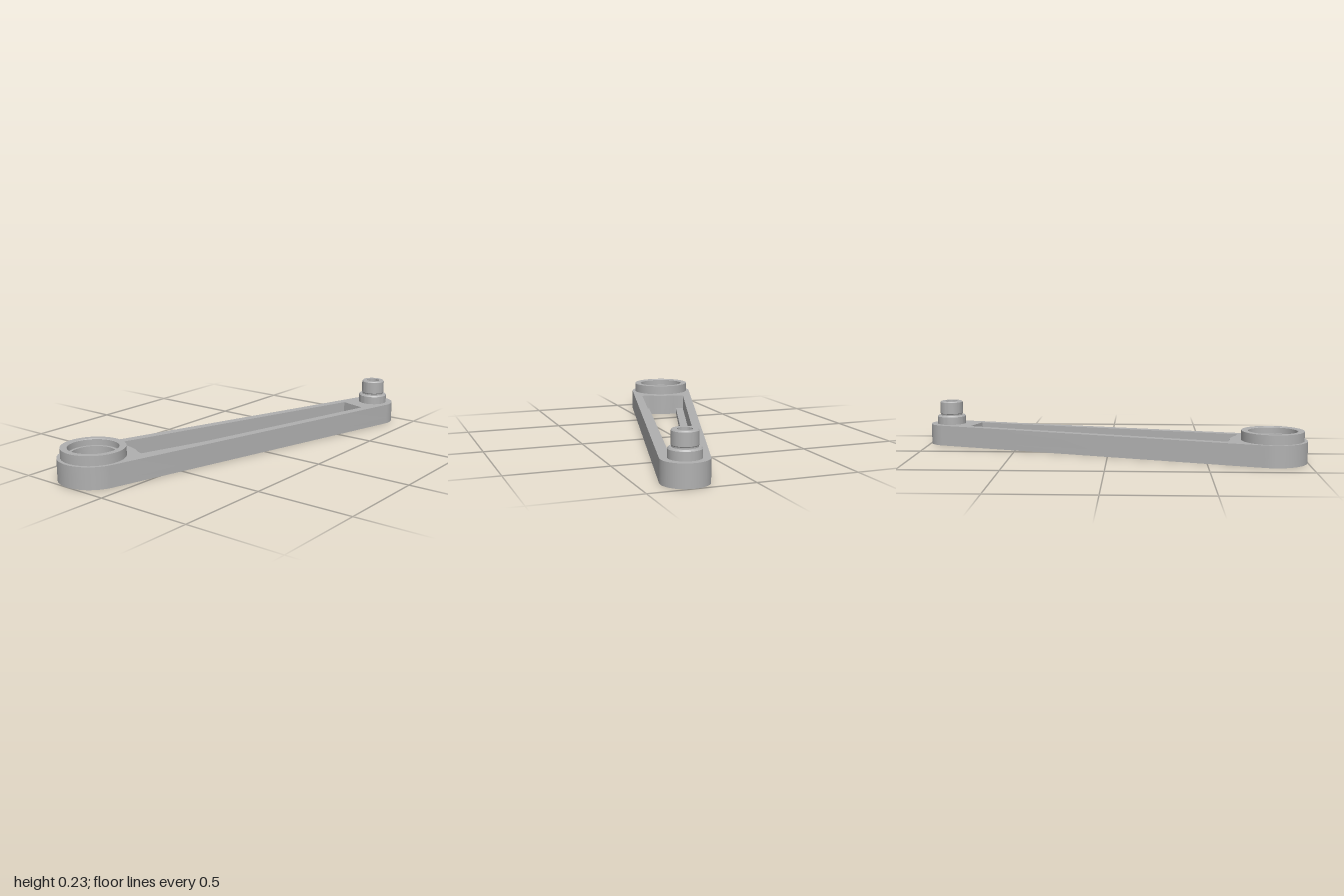
import * as THREE from 'three';
import { toCreasedNormals } from 'three/addons/utils/BufferGeometryUtils.js';

const R1 = 0.173, R2 = 0.112, LENGTH = 1.79; // hub end radius, pin end radius, centre distance
const BORE = 0.13, LEDGE_Y = 0.032, TOP_Y = 0.11;

// Tapered link outline with hub hole and a slot set in from the sides by wall
function linkShape(wall) {
  const a = Math.acos((R1 - R2) / LENGTH);
  const shape = new THREE.Shape();
  shape.absarc(0, 0, R1, a, Math.PI * 2 - a, false);
  shape.absarc(LENGTH, 0, R2, -a, a, false);
  shape.closePath();

  const hubHole = new THREE.Path();
  hubHole.absarc(0, 0, BORE, 0, Math.PI * 2, true);

  const halfWidth = (u) => R1 - 0.034 * u - wall;
  const u0 = 0.201, u1 = 1.639, bulge = 0.212;
  const b = Math.acos(u0 / bulge);
  const slot = new THREE.Path();
  slot.moveTo(u0, halfWidth(u0));
  slot.lineTo(u1, halfWidth(u1));
  slot.lineTo(u1, -halfWidth(u1));
  slot.lineTo(u0, -halfWidth(u0));
  slot.absarc(0, 0, bulge, -b, b, false);
  slot.closePath();

  shape.holes.push(hubHole, slot);
  return shape;
}

export function createModel() {
  const grey = new THREE.MeshStandardMaterial({ color: 0xb0b0b0 });
  grey.name = 'grey';
  const arm = new THREE.Group();
  arm.name = 'crankArm';

  const add = (name, geometry, x = 0) => {
    const mesh = new THREE.Mesh(toCreasedNormals(geometry, 0.5), grey);
    mesh.name = name;
    mesh.position.x = x;
    arm.add(mesh);
  };
  const slab = (name, wall, y0, y1) => {
    const g = new THREE.ExtrudeGeometry(linkShape(wall), { depth: y1 - y0, bevelEnabled: false, curveSegments: 48 });
    g.rotateX(-Math.PI / 2);
    g.translate(0, y0, 0);
    add(name, g);
  };
  const turned = (name, points, x) =>
    add(name, new THREE.LatheGeometry(points.map(([r, y]) => new THREE.Vector2(r, y)), 64), x);

  // Link body: lower flange leaves a ledge along both sides of the slot
  slab('lowerFlange', 0.086, 0, LEDGE_Y);
  slab('upperWalls', 0.045, LEDGE_Y, TOP_Y);

  // Hub ring with counterbore and shallow inner groove
  turned('hubRing', [
    [0.107, 0], [BORE, 0], [BORE, TOP_Y], [0.156, TOP_Y], [0.156, 0.158],
    [0.125, 0.158], [0.122, 0.155], [0.122, 0.125], [0.107, 0.125],
    [0.107, 0.09], [0.112, 0.09], [0.112, 0.035], [0.107, 0.035], [0.107, 0],
  ], 0);

  // Stepped pin with a blind hole in its top
  turned('pin', [
    [0.077, TOP_Y], [0.077, 0.151], [0.071, 0.158], [0.059, 0.158], [0.059, 0.164],
    [0.0615, 0.168], [0.0615, 0.23], [0.057, 0.235], [0.034, 0.235], [0.034, 0.185], [0, 0.185],
  ], LENGTH);

  arm.rotation.y = -Math.atan2(0.513, 1.717);
  arm.position.set(-0.828, 0, -0.226);
  const model = new THREE.Group();
  model.name = 'linkArm';
  model.add(arm);
  return model;
}
